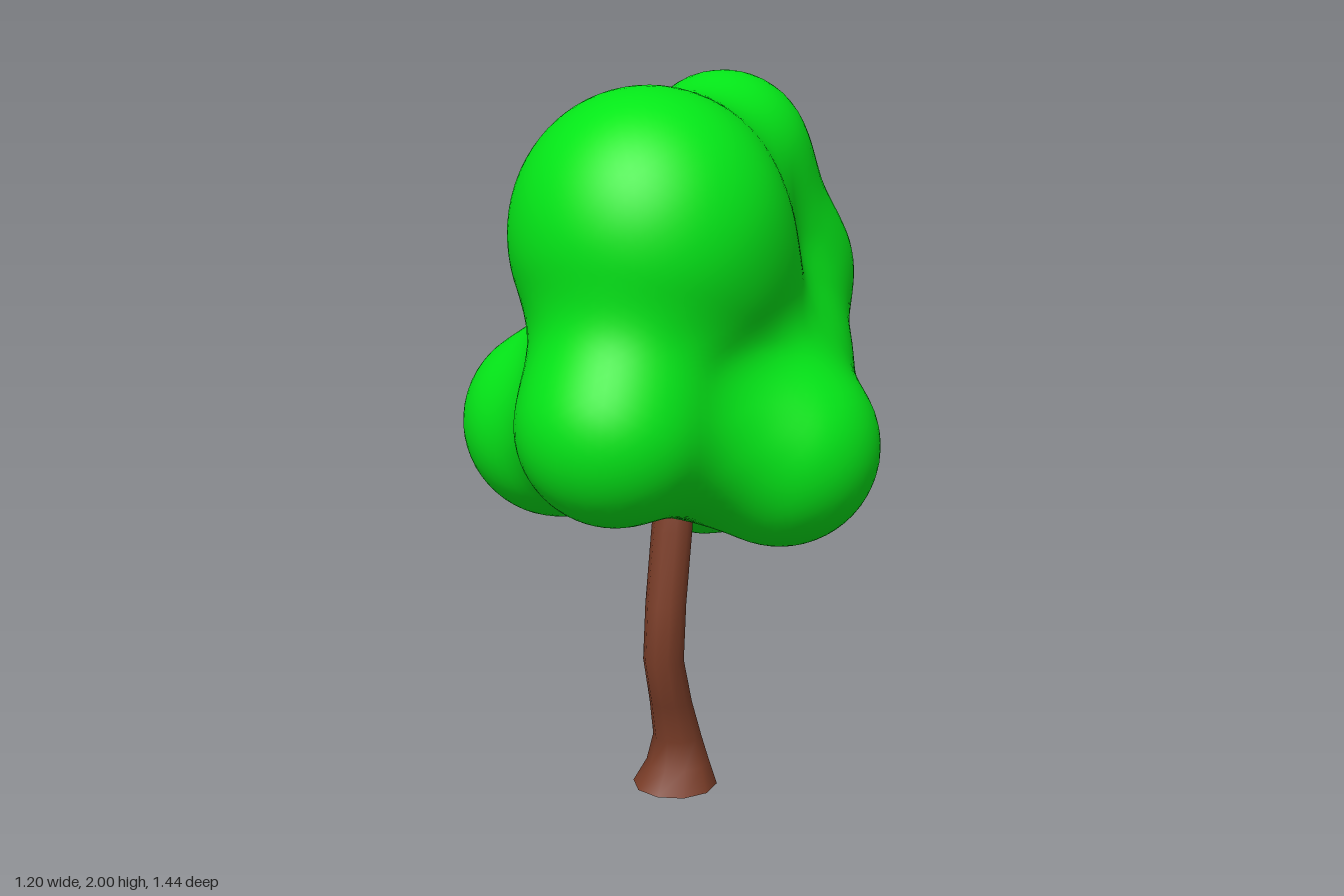
import * as THREE from 'three';
import { mergeVertices } from 'three/addons/utils/BufferGeometryUtils.js';

// Foliage lobes: x, y, z, radius
const LOBES = [
  [0.03, 1.35, 0.0, 0.33], // core
  [0.025, 1.655, 0.245, 0.34], // front crown
  [0.03, 1.54, 0.23, 0.31], // front crown base
  [0.02, 1.745, -0.26, 0.245], // back crown
  [0.02, 1.68, 0.0, 0.18], // saddle between crowns
  [0.03, 1.4, -0.41, 0.31], // back
  [0.03, 1.15, 0.455, 0.262], // low front
  [-0.04, 0.93, -0.285, 0.28], // low back
  [-0.33, 1.035, 0.07, 0.27], // right side
  [0.33, 1.035, 0.07, 0.27], // left side
  [-0.19, 1.2, -0.28, 0.2], // right shoulder
  [0.19, 1.2, -0.2, 0.2], // left shoulder
  [-0.2, 1.03, -0.12, 0.2], // low right fill
  [-0.12, 1.1, 0.23, 0.15], // front right fill
  [0.16, 1.1, 0.23, 0.15], // front left fill
  [0.02, 1.03, 0.06, 0.17], // underside around the trunk
];
const BLEND = 0.19;

// Smoothly blended distance to all lobes
function field(p) {
  let d = 10;
  for (const [x, y, z, r] of LOBES) {
    const e = Math.hypot(p.x - x, p.y - y, p.z - z) - r;
    const h = Math.max(BLEND - Math.abs(d - e), 0) / BLEND;
    d = Math.min(d, e) - h * h * BLEND * 0.25;
  }
  return d;
}

// Sphere shrunk along its rays onto the blended lobes
function foliageGeometry() {
  let geo = new THREE.IcosahedronGeometry(1, 24);
  geo.deleteAttribute('normal');
  geo.deleteAttribute('uv');
  geo = mergeVertices(geo, 1e-4);
  const centre = new THREE.Vector3(0.02, 1.3, 0);
  const pos = geo.attributes.position;
  const dir = new THREE.Vector3();
  const p = new THREE.Vector3();
  for (let i = 0; i < pos.count; i++) {
    dir.fromBufferAttribute(pos, i).normalize();
    let t = 1.3;
    for (let k = 0; k < 80; k++) {
      const d = field(p.copy(centre).addScaledVector(dir, t));
      if (d < 0.0005 || t < 0.1) break;
      t -= d * 0.9;
    }
    pos.setXYZ(i, p.x, p.y, p.z);
  }
  geo.computeVertexNormals();
  return geo;
}

// Bent trunk rings: y, z, radius
const RINGS = [
  [0, 0.06, 0.12], [0.06, 0.04, 0.09], [0.14, 0.045, 0.069], [0.26, 0.09, 0.06],
  [0.4, 0.138, 0.057], [0.56, 0.122, 0.057], [0.77, 0.08, 0.057], [0.86, 0.06, 0.054],
];

// Open tube whose rows follow the rings
function trunkGeometry() {
  const rows = RINGS.length - 1;
  const geo = new THREE.CylinderGeometry(1, 1, rows, 10, rows, true);
  const pos = geo.attributes.position;
  for (let i = 0; i < pos.count; i++) {
    const [y, z, r] = RINGS[Math.round(pos.getY(i) + rows / 2)];
    pos.setXYZ(i, 0.018 + pos.getX(i) * r, y, z + pos.getZ(i) * r);
  }
  geo.deleteAttribute('normal');
  geo.deleteAttribute('uv');
  const merged = mergeVertices(geo, 1e-4);
  merged.computeVertexNormals();
  return merged;
}

export function createModel() {
  const tree = new THREE.Group();
  tree.name = 'tree';

  const foliage = new THREE.Mesh(
    foliageGeometry(),
    new THREE.MeshStandardMaterial({ color: 0x04e818 }),
  );
  foliage.name = 'foliage';

  const trunk = new THREE.Mesh(
    trunkGeometry(),
    new THREE.MeshStandardMaterial({ color: 0x7a3d28, side: THREE.DoubleSide }),
  );
  trunk.name = 'trunk';

  tree.add(foliage, trunk);
  return tree;
}
